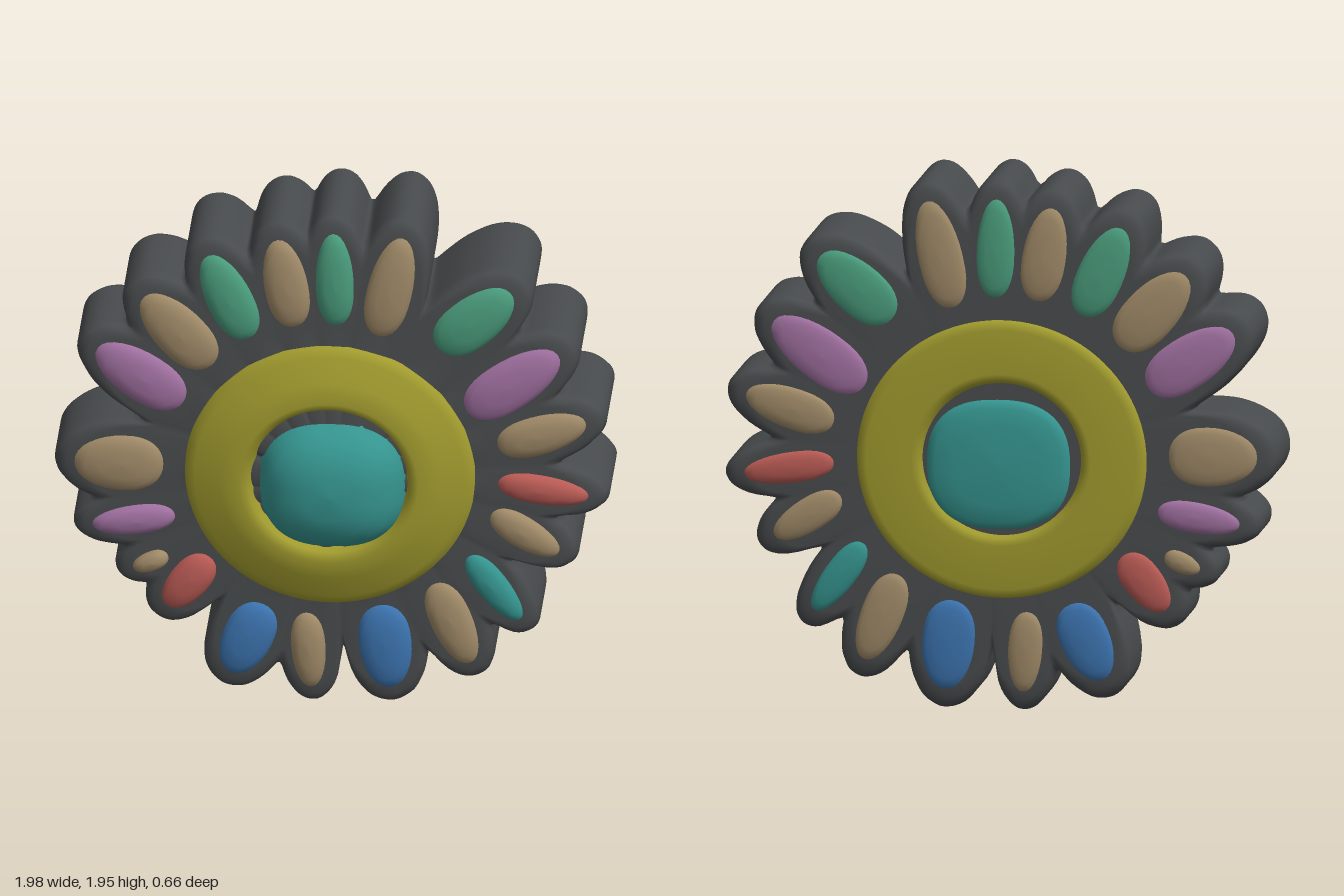
import * as THREE from 'three';

const CY = 0.93; // height of the flower centre
const COLORS = { grey: 0x484b4d, tan: 0xa08a68, green: 0x4a9c7c, purple: 0xa070a0, red: 0xb85a54,
  blue: 0x3c74b0, teal: 0x35948f, yellow: 0xa09a2e };

// petals: colour, base x, y, tip x, y, half width
const PETALS = [
  ['green', 0.01, 1.51, 0.0, 1.89, 0.072], ['tan', 0.16, 1.47, 0.25, 1.88, 0.085],
  ['green', 0.37, 1.43, 0.64, 1.67, 0.1], ['purple', 0.47, 1.18, 0.81, 1.43, 0.1],
  ['tan', 0.58, 1.05, 0.91, 1.16, 0.08], ['red', 0.58, 0.91, 0.92, 0.86, 0.06],
  ['tan', 0.56, 0.79, 0.81, 0.63, 0.065], ['teal', 0.48, 0.62, 0.67, 0.36, 0.06],
  ['tan', 0.36, 0.51, 0.49, 0.18, 0.08], ['blue', 0.17, 0.42, 0.2, 0.075, 0.1],
  ['tan', -0.1, 0.38, -0.08, 0.07, 0.065], ['blue', -0.25, 0.41, -0.37, 0.12, 0.095],
  ['red', -0.44, 0.59, -0.6, 0.38, 0.075], ['tan', -0.59, 0.59, -0.72, 0.53, 0.04],
  ['purple', -0.56, 0.75, -0.87, 0.7, 0.06], ['tan', -0.6, 0.95, -0.935, 0.95, 0.115],
  ['purple', -0.53, 1.19, -0.85, 1.41, 0.1], ['tan', -0.43, 1.34, -0.68, 1.62, 0.1],
  ['green', -0.3, 1.45, -0.45, 1.79, 0.088], ['tan', -0.14, 1.5, -0.2, 1.86, 0.083],
].map(([color, x0, y0, x1, y1, w]) => {
  const len = Math.hypot(x1 - x0, y1 - y0);
  return { color, len, w, dx: (x1 - x0) / len, dy: (y1 - y0) / len,
    cx: x0 + 0.45 * (x1 - x0), cy: y0 + 0.45 * (y1 - y0) };
});

// slightly tilted front and back faces; h is the relief above them
const faceZ = (x, y, side, h) => side > 0
  ? 0.14 - 0.015 * x + 0.02 * (y - CY) + h
  : -0.25 - 0.06 * x - 0.045 * (y - CY) - h;

const spow = (v, e) => Math.sign(v) * Math.abs(v) ** e;

// surface made of scaled copies of an outline; rows are [scale, side, height]
function relief(name, color, cx, cy, outline, rows, n) {
  const pos = [], idx = [];
  for (const [s, side, h] of rows) {
    for (let i = 0; i < n; i++) {
      const [ox, oy] = outline((i / n) * Math.PI * 2);
      const x = cx + ox * s, y = cy + oy * s;
      pos.push(x, y, faceZ(x, y, side, h));
    }
  }
  for (let r = 0; r < rows.length - 1; r++) {
    for (let i = 0; i < n; i++) {
      const j = (i + 1) % n, a = r * n + i, b = r * n + j, c = a + n, d = b + n;
      if (rows[r + 1][0] > 0) idx.push(a, c, d);
      if (rows[r][0] > 0) idx.push(a, d, b);
    }
  }
  const geo = new THREE.BufferGeometry();
  geo.setAttribute('position', new THREE.Float32BufferAttribute(pos, 3));
  geo.setIndex(idx);
  geo.computeVertexNormals();
  const mesh = new THREE.Mesh(geo, new THREE.MeshStandardMaterial({ color: COLORS[color] }));
  mesh.name = name;
  return mesh;
}

// the rows of one face, running inside out on the front and outside in on the back
const faceRows = (rows, side) => {
  const list = rows.map(([s, h]) => [s, side, h]);
  return side > 0 ? list : list.reverse();
};

// is a point inside the grey border of a petal
function inBorder(p, x, y) {
  const u = (x - p.cx) * p.dx + (y - p.cy) * p.dy;
  const v = Math.abs((y - p.cy) * p.dx - (x - p.cx) * p.dy) / (p.w + 0.05);
  if (u < 0) return u > -p.len && v < 1;
  return (u / (0.55 * p.len + 0.067)) ** 2.1 + v ** 2.1 < 1;
}

// scalloped rim: the farthest border point in each direction
function rimRadius(a) {
  for (let r = 1.2; r > 0.66; r -= 0.004) {
    const x = r * Math.cos(a), y = CY + r * Math.sin(a);
    if (PETALS.some((p) => inBorder(p, x, y))) return r;
  }
  return 0.66;
}

export function createModel() {
  const group = new THREE.Group();
  group.name = 'flowerDisc';

  // thick grey body with a rounded rim
  const N = 480;
  const raw = Array.from({ length: N }, (_, i) => rimRadius((i / N) * Math.PI * 2));
  const rim = raw.map((r, i) => (raw[(i + N - 1) % N] + 2 * r + raw[(i + 1) % N]) / 4);
  const rimOutline = (a) => {
    const r = rim[Math.round((a / (Math.PI * 2)) * N) % N];
    return [r * Math.cos(a), r * Math.sin(a)];
  };
  const edge = [[0.6, 0], [0.9, 0], [0.955, -0.006], [0.985, -0.022], [1, -0.055]];
  group.add(relief('body', 'grey', 0, CY, rimOutline, [
    ...faceRows([[0, 0.05], [0.28, 0.05], [0.42, 0.01], ...edge], 1),
    ...faceRows([[0, 0], ...edge], -1),
  ], N));

  for (const side of [1, -1]) {
    const label = side > 0 ? 'front' : 'back';

    // coloured petal inlays
    const k = side > 0 ? 0.032 : 0.02;
    const petalRows = [[0, k], [0.45, k * 0.92], [0.75, k * 0.65], [0.92, k * 0.2], [1, -0.015]];
    for (const p of PETALS) {
      const leaf = (a) => {
        const c = Math.cos(a);
        const u = c > 0 ? 0.55 * p.len * c : 0.45 * p.len * spow(c, 0.8);
        const v = p.w * spow(Math.sin(a), 0.95);
        return [u * p.dx - v * p.dy, u * p.dy + v * p.dx];
      };
      group.add(relief(label + 'Petal', p.color, p.cx, p.cy, leaf, faceRows(petalRows, side), 32));
    }

    // yellow ring around the centre
    const ringRows = side > 0
      ? [[0.52, 0.03], [0.55, 0.07], [0.61, 0.09], [0.75, 0.07], [0.92, 0.035], [0.98, 0.02], [1, -0.02]]
      : [[0.53, -0.01], [0.56, 0.02], [0.61, 0.03], [0.92, 0.024], [0.98, 0.012], [1, -0.02]];
    const circle = (a) => [0.525 * Math.cos(a), 0.515 * Math.sin(a)];
    group.add(relief(label + 'Ring', 'yellow', -0.012, CY, circle, faceRows(ringRows, side), 96));

    // squarish central button, domed at the front
    const buttonRows = side > 0
      ? [[0, 0.185], [0.35, 0.18], [0.6, 0.162], [0.8, 0.13], [0.93, 0.09], [1, 0.03]]
      : [[0, 0.04], [0.6, 0.036], [0.85, 0.024], [0.95, 0.01], [1, -0.02]];
    const button = (a) => [0.265 * spow(Math.cos(a), 0.8), 0.245 * spow(Math.sin(a), 0.8)];
    group.add(relief(label + 'Button', 'teal', 0, 0.91, button, faceRows(buttonRows, side), 64));
  }
  return group;
}
